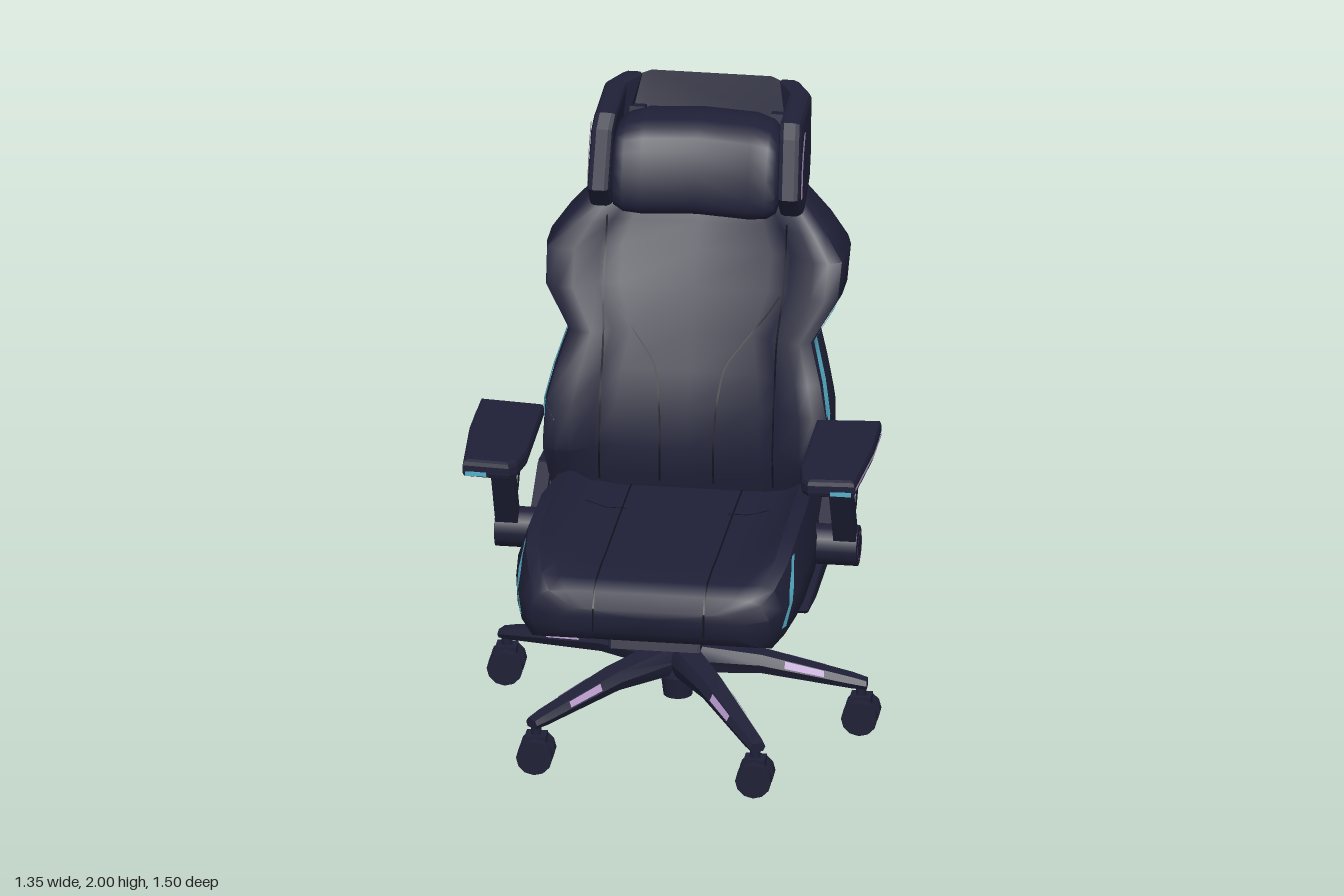
import * as THREE from 'three';
import { toCreasedNormals } from 'three/addons/utils/BufferGeometryUtils.js';

const V = (x, y, z) => new THREE.Vector3(x, y, z);
const mat = (name, color, side = THREE.FrontSide) => {
  const m = new THREE.MeshStandardMaterial({ color, side });
  m.name = name;
  return m;
};
const body = mat('midnight upholstery', 0x1f2037);
const seam = mat('dark seam', 0x10101c, THREE.DoubleSide);
const cyan = mat('cyan accent', 0x55b0ca, THREE.DoubleSide);
const purple = mat('purple accent', 0x74478c, THREE.DoubleSide);
const lilac = mat('lilac accent', 0xb496c8, THREE.DoubleSide);

function add(parent, name, geo, material = body) {
  const m = new THREE.Mesh(geo, material);
  m.name = name;
  parent.add(m);
  return m;
}

// Skin closed rings of points, with fan caps at both ends
function loft(rings, crease = 0.75) {
  const n = rings[0].length, pos = [], idx = [];
  rings.forEach(r => r.forEach(p => pos.push(p.x, p.y, p.z)));
  for (let i = 0; i < rings.length - 1; i++) for (let j = 0; j < n; j++) {
    const a = i * n + j, b = i * n + (j + 1) % n;
    idx.push(a, b, b + n, a, b + n, a + n);
  }
  [0, rings.length - 1].forEach((r, end) => {
    const c = rings[r].reduce((s, p) => s.add(p), V(0, 0, 0)).divideScalar(n), ci = pos.length / 3;
    pos.push(c.x, c.y, c.z);
    for (let j = 0; j < n; j++) {
      const a = r * n + j, b = r * n + (j + 1) % n;
      end ? idx.push(ci, a, b) : idx.push(ci, b, a);
    }
  });
  const g = new THREE.BufferGeometry();
  g.setAttribute('position', new THREE.Float32BufferAttribute(pos, 3));
  g.setIndex(idx);
  return toCreasedNormals(g, crease);
}
const mirrorRing = half => [...half, ...half.slice(1, -1).reverse().map(p => V(-p.x, p.y, p.z))];

// Thin ribbon between two matching lists of points
function ribbon(a, b) {
  const pos = [], idx = [];
  a.forEach((p, i) => pos.push(p.x, p.y, p.z, b[i].x, b[i].y, b[i].z));
  for (let i = 0; i < a.length - 1; i++) idx.push(2 * i, 2 * i + 1, 2 * i + 3, 2 * i, 2 * i + 3, 2 * i + 2);
  const g = new THREE.BufferGeometry();
  g.setAttribute('position', new THREE.Float32BufferAttribute(pos, 3));
  g.setIndex(idx);
  g.computeVertexNormals();
  return g;
}

// Side outline given as [z, y], extruded from x0 to x1
function sideExtrude(pts, x0, x1, bevel = 0) {
  const shape = new THREE.Shape(pts.map(([z, y]) => new THREE.Vector2(-z, y)));
  const g = new THREE.ExtrudeGeometry(shape, { depth: x1 - x0 - 2 * bevel, bevelEnabled: bevel > 0,
    bevelSize: bevel, bevelThickness: bevel, bevelOffset: -bevel, bevelSegments: 2 });
  return g.rotateY(Math.PI / 2).translate(x0 + bevel, 0, 0);
}

// Straight box beam between two points
function beam(parent, name, p, q, w, t) {
  const d = q.clone().sub(p);
  const m = add(parent, name, new THREE.BoxGeometry(w, d.length(), t));
  m.position.copy(p).add(q).multiplyScalar(0.5);
  m.quaternion.setFromUnitVectors(V(0, 1, 0), d.normalize());
}
const drum = (parent, name, r0, r1, y0, y1, z) =>
  add(parent, name, new THREE.CylinderGeometry(r1, r0, y1 - y0, 20).translate(0, (y0 + y1) / 2, z));

function rowAt(rows, v) {
  let i = 0;
  const up = rows[1][0] > rows[0][0];
  while (i < rows.length - 2 && (up ? rows[i + 1][0] < v : rows[i + 1][0] > v)) i++;
  const t = (v - rows[i][0]) / (rows[i + 1][0] - rows[i][0]);
  return rows[i].map((a, k) => a + (rows[i + 1][k] - a) * t);
}
// Outer x of a half section where its falling coordinate (y or z) equals v
function sideX(half, axis, v, first, last) {
  let i = first;
  while (i < last && half[i + 1][axis] > v) i++;
  const t = (v - half[i][axis]) / (half[i + 1][axis] - half[i][axis]);
  return THREE.MathUtils.lerp(half[i].x, half[i + 1].x, THREE.MathUtils.clamp(t, 0, 1));
}

// Backrest rows: y, half width, bolster z, centre z, back z
const backRows = [
  [0.54, 0.40, -0.20, -0.20, -0.33], [0.66, 0.45, -0.16, -0.18, -0.44], [0.80, 0.47, -0.13, -0.15, -0.455],
  [0.90, 0.48, -0.08, -0.15, -0.463], [1.05, 0.475, -0.11, -0.18, -0.475], [1.15, 0.45, -0.155, -0.22, -0.50],
  [1.27, 0.41, -0.22, -0.27, -0.55], [1.41, 0.495, -0.265, -0.33, -0.605], [1.52, 0.50, -0.325, -0.39, -0.65],
  [1.60, 0.44, -0.37, -0.43, -0.66], [1.69, 0.35, -0.44, -0.48, -0.675], [1.82, 0.27, -0.58, -0.58, -0.70]];
const backHalf = ([y, w, f, c, b]) => [[0, c], [0.5, c], [0.64, c + (f - c) * 0.35], [0.8, f], [0.9, f],
  [0.985, f - 0.02], [1, f - 0.07], [1, (f + b) / 2 - 0.02], [0.96, b + 0.07], [0.85, b + 0.012], [0, b]]
  .map(([u, z]) => V(u * w, y, z));
function backFront(x, y) {
  const h = backHalf(rowAt(backRows, y));
  let i = 0;
  while (i < 4 && h[i + 1].x < x) i++;
  return h[i].z + (h[i + 1].z - h[i].z) * (x - h[i].x) / (h[i + 1].x - h[i].x);
}

// Seat rows: z, half width, centre top, bolster top, bottom
const seatRows = [
  [0.75, 0.30, 0.70, 0.70, 0.62], [0.72, 0.40, 0.75, 0.745, 0.58], [0.66, 0.44, 0.772, 0.78, 0.555],
  [0.55, 0.47, 0.775, 0.825, 0.56], [0.43, 0.48, 0.768, 0.86, 0.56], [0.14, 0.475, 0.765, 0.853, 0.54],
  [-0.07, 0.46, 0.76, 0.82, 0.53], [-0.30, 0.45, 0.75, 0.78, 0.53]];
const seatHalf = ([z, w, t, s, b]) => [[0, t], [0.5, t], [0.7, t + (s - t) * 0.3], [0.84, s], [0.93, s - 0.015],
  [1, b + (s - b) * 0.6], [0.99, b + (s - b) * 0.25], [0.91, b], [0, b]].map(([u, y]) => V(u * w, y, z));

function buildSide(s) {
  const g = new THREE.Group();
  g.name = s > 0 ? 'leftSide' : 'rightSide';
  g.scale.x = s;

  // Headrest wing, turned inwards at the back, with its light strip
  const wing = sideExtrude([[-0.30, 1.75], [-0.37, 1.94], [-0.42, 1.98], [-0.66, 1.99], [-0.74, 1.995], [-0.70, 1.83],
    [-0.60, 1.80], [-0.57, 1.72], [-0.44, 1.645], [-0.36, 1.67]], 0.28, 0.355, 0.018);
  const wp = wing.attributes.position;
  for (let i = 0; i < wp.count; i++)
    wp.setX(i, wp.getX(i) - 0.6 * Math.max(0, -0.66 - wp.getZ(i)) - 0.12 * Math.max(0, wp.getY(i) - 1.9));
  wing.computeVertexNormals();
  add(g, 'headrestWing', wing);
  const glow = [[-0.415, 1.945], [-0.375, 1.89], [-0.345, 1.82], [-0.335, 1.74]];
  add(g, 'wingLight', ribbon(glow.map(([z, y]) => V(0.357, y, z)), glow.map(([z, y]) => V(0.358, y - 0.005, z - 0.03))), lilac);

  // Backrest side stripe and panel seams
  const stripe = o => [1.0, 1.05, 1.1, 1.15, 1.21, 1.27, 1.32, 1.365].map(y => {
    const z = -0.12 - 0.59 * (y - 1.0) + o;
    return V(sideX(backHalf(rowAt(backRows, y)), 'z', z, 4, 8) + 0.005, y, z);
  });
  add(g, 'backrestStripe', ribbon(stripe(0.02), stripe(-0.02)), cyan);
  const seams = [[[0.30, 1.62], [0.30, 1.4], [0.29, 1.27], [0.29, 1.1], [0.29, 0.95], [0.29, 0.78]],
    [[0.29, 1.4], [0.25, 1.34], [0.17, 1.24], [0.12, 1.17], [0.10, 1.08], [0.09, 0.95], [0.09, 0.78]]];
  for (const path of seams) {
    const pts = new THREE.CatmullRomCurve3(path.map(([x, y]) => V(x, y, 0))).getPoints(32);
    const edge = o => pts.map(p => V(p.x + o, p.y, backFront(p.x + o, p.y) + 0.003));
    add(g, 'backrestSeam', ribbon(edge(-0.003), edge(0.003)), seam);
  }

  // Seat stripe and seams
  const line = [[0.49, 0.822], [0.53, 0.79], [0.57, 0.75], [0.61, 0.70], [0.655, 0.63]];
  const trace = o => line.map(([z, y]) => V(sideX(seatHalf(rowAt(seatRows, z + o)), 'y', y, 3, 6) + 0.004, y, z + o));
  add(g, 'seatStripe', ribbon(trace(-0.014), trace(0.014)), cyan);
  const run = o => [...seatRows.map(r => V(0.185 + o, r[2] + 0.003, r[0])).reverse(), V(0.185 + o, 0.70, 0.753), V(0.185 + o, 0.62, 0.753)];
  add(g, 'seatSeam', ribbon(run(-0.003), run(0.003)), seam);
  const cross = z => [V(0.17, 0.767, z), V(0.238, 0.767, z), V(0.31, 0.789, z)];
  add(g, 'seatCrossSeam', ribbon(cross(0.057), cross(0.063)), seam);

  // Armrest pad with its edge light
  const outline = [[0.455, 0], [0.67, -0.02], [0.675, 0.2], [0.655, 0.51], [0.50, 0.52], [0.475, 0.49], [0.455, 0.38]];
  const pad = new THREE.ExtrudeGeometry(new THREE.Shape(outline.map(p => new THREE.Vector2(...p))),
    { depth: 0.026, bevelSize: 0.015, bevelOffset: -0.015, bevelThickness: 0.018, bevelSegments: 2 });
  add(g, 'armPad', pad.rotateX(Math.PI / 2).translate(0, 1.087, 0));
  const rim = [[0.677, 0.02], [0.677, 0.2], [0.657, 0.50]];
  add(g, 'armPadLight', ribbon(rim.map(([x, z]) => V(x, 1.078, z)), rim.map(([x, z]) => V(x, 1.066, z))), lilac);
  add(g, 'armPadTip', new THREE.BoxGeometry(0.07, 0.014, 0.005).translate(0.61, 1.06, 0.515), cyan);

  // Armrest bracket and pivot
  add(g, 'armCarrier', sideExtrude([[0.30, 1.05], [-0.03, 1.05], [-0.03, 1.02], [0.16, 1.0], [0.26, 1.0]], 0.52, 0.62, 0.008));
  const ax = 0.565;
  [[0.235, 1.03, 0.07, 0.70, 0.075, 0.055], [0.155, 1.02, 0.025, 0.72, 0.05, 0.022], [0.0, 1.03, -0.015, 0.945, 0.07, 0.045],
    [-0.015, 0.965, 0.09, 0.83, 0.07, 0.045]].forEach(([z0, y0, z1, y1, w, t]) =>
    beam(g, 'armStrut', V(ax, y0, z0), V(ax, y1, z1), w, t));
  add(g, 'armPivot', new THREE.CylinderGeometry(0.068, 0.068, 0.15, 20).rotateZ(Math.PI / 2).translate(0.53, 0.675, 0.05));
  add(g, 'pivotRing', new THREE.RingGeometry(0.043, 0.05, 20).rotateY(Math.PI / 2).translate(0.608, 0.675, 0.05), purple);

  // Recliner frame joining seat and back
  const rx = 0.48;
  [[0.05, 0.65, -0.20, 0.79], [-0.20, 0.79, -0.34, 0.77], [-0.34, 0.77, -0.37, 0.63], [-0.37, 0.63, -0.16, 0.60],
    [-0.16, 0.60, -0.34, 0.77], [0.05, 0.63, -0.16, 0.60]].forEach(([z0, y0, z1, y1]) =>
    beam(g, 'reclinerBar', V(rx, y0, z0), V(rx, y1, z1), 0.045, 0.035));
  add(g, 'seatRail', sideExtrude([[0.42, 0.59], [0.0, 0.61], [-0.34, 0.62], [-0.34, 0.545], [0.2, 0.54], [0.38, 0.565]], 0.42, 0.485, 0.012));
  return g;
}

// Leg along +x of the given reach, with light patches high on both flanks
function buildLeg(reach) {
  const leg = new THREE.Group();
  leg.name = 'baseLeg';
  const rows = [[0.03, 0.30, 0.20, 0.06], [0.28, 0.27, 0.205, 0.047], [reach - 0.03, 0.20, 0.16, 0.034], [reach + 0.02, 0.185, 0.155, 0.028]];
  add(leg, 'legArm', loft(rows.map(([r, t, b, w]) => [V(r, t, -w * 0.65), V(r, t, w * 0.65), V(r, (t + b) / 2, w),
    V(r, b, w * 0.7), V(r, b, -w * 0.7), V(r, (t + b) / 2, -w)])));
  for (const s of [-1, 1]) {
    const flank = k => [0.36, 0.49].map(r => {
      const [, t, b, w] = rowAt(rows, r);
      return V(r, t + ((t + b) / 2 - t) * k + 0.002, s * (w * (0.65 + 0.35 * k) + 0.003));
    });
    add(leg, 'legLight', ribbon(flank(0.1), flank(0.85)), lilac);
  }
  return leg;
}

export function createModel() {
  const chair = new THREE.Group();
  chair.name = 'officeChair';
  add(chair, 'backrest', loft(backRows.map(r => mirrorRing(backHalf(r)))));
  add(chair, 'seatCushion', loft(seatRows.map(r => mirrorRing(seatHalf(r)))));
  add(chair, 'seatPan', sideExtrude([[0.56, 0.575], [0.5, 0.55], [0.3, 0.53], [-0.33, 0.53], [-0.33, 0.58]], -0.43, 0.43, 0.01));
  add(chair, 'frontLip', sideExtrude([[0.61, 0.50], [0.59, 0.57], [0.1, 0.56], [0.1, 0.525], [0.35, 0.51], [0.5, 0.495]], -0.155, 0.155, 0.01));
  chair.add(buildSide(1), buildSide(-1));

  // Headrest pillow, its ends curving forward, and the top bar
  const pillow = [[-0.28, 0.6], [-0.27, 0.8], [-0.24, 0.93], [-0.18, 1], [0, 1], [0.18, 1], [0.24, 0.93], [0.27, 0.8], [0.28, 0.6]].map(([x, k]) =>
    Array.from({ length: 20 }, (_, i) => {
      const a = i / 20 * Math.PI * 2, c = Math.cos(a), s = Math.sin(a);
      const y = 0.152 * k * Math.sign(c) * Math.abs(c) ** 0.65;
      return V(x, 1.80 + y, -0.485 + 0.7 * x * x - y * 0.35 + 0.125 * k * Math.sign(s) * Math.abs(s) ** 0.65);
    }));
  add(chair, 'headPillow', loft(pillow, 1));
  const barRing = (x, top, dz) => [[-0.665, 1.87], [-0.67, top - 0.02], [-0.69, top], [-0.75, top], [-0.715, 1.86]]
    .map(([z, y]) => V(x, y, z + dz)).reverse();
  add(chair, 'headrestBar', loft([barRing(-0.30, 1.965, 0.02), barRing(-0.2, 2.0, 0), barRing(0.2, 2.0, 0), barRing(0.30, 1.965, 0.02)].map(r => r.reverse())));
  for (const x of [-0.24, 0.24]) beam(chair, 'headrestPost', V(x, 1.76, -0.645), V(x, 1.9, -0.68), 0.06, 0.06);

  // Tilt mechanism, tension knob and lever
  add(chair, 'tiltMechanism', new THREE.BoxGeometry(0.31, 0.05, 0.24).translate(0, 0.51, 0.05));
  const knob = add(chair, 'tensionKnob', new THREE.CylinderGeometry(0.04, 0.048, 0.16, 14));
  knob.position.set(0, 0.45, 0.235);
  knob.rotation.x = 0.25;
  beam(chair, 'heightLever', V(-0.1, 0.49, 0.08), V(-0.37, 0.475, 0.08), 0.018, 0.018);
  beam(chair, 'leverPaddle', V(-0.36, 0.475, 0.08), V(-0.46, 0.43, 0.08), 0.022, 0.05);

  // Gas column and hub
  const cz = 0.05;
  drum(chair, 'columnRod', 0.042, 0.042, 0.40, 0.50, cz);
  drum(chair, 'columnSleeve', 0.058, 0.058, 0.28, 0.415, cz);
  drum(chair, 'baseHub', 0.085, 0.075, 0.19, 0.305, cz);
  drum(chair, 'hubSocket', 0.048, 0.06, 0.105, 0.2, cz);

  // Five legs, with twin-wheel casters all facing the same way
  for (const [x, z] of [[-0.61, -0.22], [0.065, -0.58], [0.61, 0.03], [0.335, 0.59], [-0.41, 0.50]]) {
    const leg = buildLeg(Math.hypot(x, z - cz));
    leg.position.z = cz;
    leg.rotation.y = -Math.atan2(z - cz, x);
    const caster = new THREE.Group();
    caster.name = 'caster';
    caster.position.set(x, 0, z);
    add(caster, 'casterStem', new THREE.CylinderGeometry(0.018, 0.018, 0.12, 8).translate(0, 0.12, 0));
    add(caster, 'casterHood', new THREE.BoxGeometry(0.07, 0.05, 0.06).translate(0, 0.105, 0));
    for (const side of [-0.036, 0.036])
      add(caster, 'casterWheel', new THREE.CylinderGeometry(0.06, 0.06, 0.038, 12).rotateX(Math.PI / 2).translate(0, 0.062, side));
    chair.add(leg, caster);
  }
  return chair;
}
